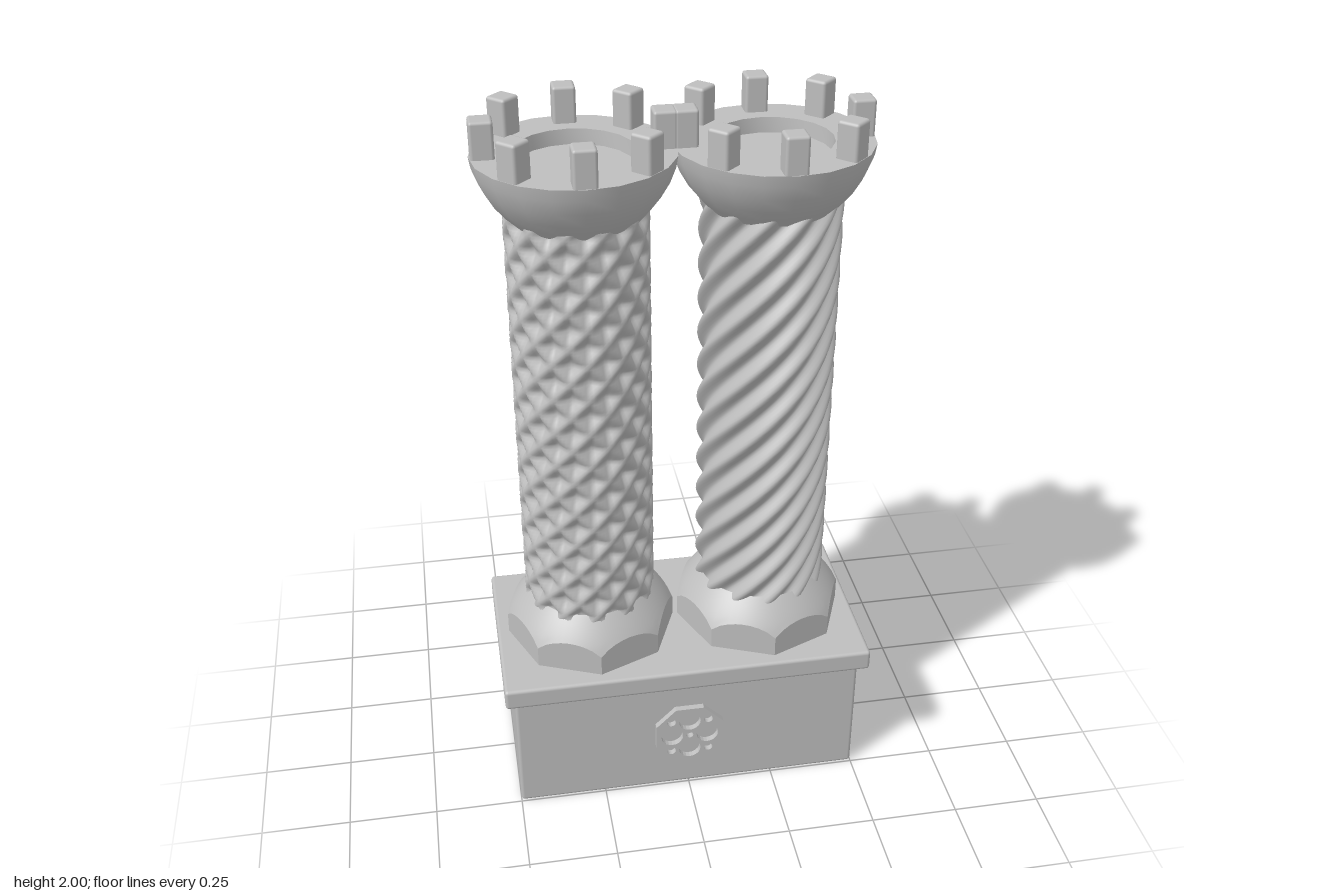
import * as THREE from 'three';
import { toCreasedNormals } from 'three/addons/utils/BufferGeometryUtils.js';
import { RoundedBoxGeometry } from 'three/addons/geometries/RoundedBoxGeometry.js';

const stone = new THREE.MeshStandardMaterial({ color: 0xbebebe });
stone.name = 'stone';

function add(parent, name, geometry, x = 0, y = 0, z = 0) {
  const mesh = new THREE.Mesh(geometry, stone);
  mesh.name = name;
  mesh.position.set(x, y, z);
  parent.add(mesh);
  return mesh;
}

// Closed tube of rings; point(angle, t) gives [radius, height]
function ringSurface(point, sides, rows) {
  const positions = [], index = [];
  for (let j = 0; j <= rows; j++) {
    for (let i = 0; i < sides; i++) {
      const a = (i / sides) * Math.PI * 2;
      const [r, y] = point(a, j / rows);
      positions.push(r * Math.sin(a), y, r * Math.cos(a));
      if (j === rows) continue;
      const p = j * sides + i, q = j * sides + ((i + 1) % sides);
      index.push(p, q, q + sides, p, q + sides, p + sides);
    }
  }
  const g = new THREE.BufferGeometry();
  g.setAttribute('position', new THREE.Float32BufferAttribute(positions, 3));
  g.setIndex(index);
  g.computeVertexNormals();
  return g;
}

// Twelve-lobed shaft making one turn; crossed adds the opposite twist
function shaft(crossed) {
  const lobes = 12;
  return ringSurface((a, t) => {
    const y = 0.54 + t * 1.24;
    const turn = (y / 1.2) * Math.PI * 2;
    let wave = Math.cos(lobes * (a - turn));
    if (crossed) wave = Math.max(wave, Math.cos(lobes * (a + turn)));
    return [0.175 + 0.011 * wave, y];
  }, 120, 144);
}

// Octagonal foot whose upper corners are cut by a domed cone
function foot() {
  const corner = 0.243, apothem = corner * Math.cos(Math.PI / 8);
  const domeY = (r) => 0.505 + 0.095 * Math.pow(Math.max(0, (corner - r) / 0.068), 0.8);
  const rows = 9;
  const g = ringSurface((a, t) => {
    const edge = apothem / Math.cos((a % (Math.PI / 4)) - Math.PI / 8);
    const step = Math.round(t * rows);
    if (step === 0) return [edge, 0.44];
    const r = edge + (0.172 - edge) * ((step - 1) / (rows - 1));
    return [r, domeY(r)];
  }, 64, rows);
  return toCreasedNormals(g, 0.45);
}

// Flared bowl with a sunken floor
function capital() {
  const profile = [
    [0.168, 1.74], [0.188, 1.762], [0.215, 1.795], [0.238, 1.835], [0.253, 1.875],
    [0.258, 1.905], [0.155, 1.905], [0.152, 1.865], [0, 1.865],
  ].map(([r, y]) => new THREE.Vector2(r, y));
  return toCreasedNormals(new THREE.LatheGeometry(profile, 20), 0.6);
}

function tower(name, crossed) {
  const group = new THREE.Group();
  group.name = name;
  add(group, 'foot', foot());
  add(group, 'twistedShaft', shaft(crossed));
  add(group, 'capital', capital());
  const block = new RoundedBoxGeometry(0.06, 0.105, 0.06, 2, 0.008);
  for (let i = 0; i < 8; i++) {
    const a = (i / 8) * Math.PI * 2;
    const merlon = add(group, 'merlon', block, 0.2235 * Math.sin(a), 1.9475, 0.2235 * Math.cos(a));
    merlon.rotation.y = a;
  }
  return group;
}

// Octagonal tracery plate with four large and four small openings
function rosette() {
  const shape = new THREE.Shape();
  for (let i = 0; i < 8; i++) {
    const a = ((i + 0.5) / 8) * Math.PI * 2;
    const x = 0.107 * Math.cos(a), y = 0.107 * Math.sin(a);
    if (i) shape.lineTo(x, y); else shape.moveTo(x, y);
  }
  shape.closePath();
  const opening = (x, y, r) => {
    const hole = new THREE.Path();
    hole.absarc(x, y, r, 0, Math.PI * 2, true);
    shape.holes.push(hole);
  };
  for (let i = 0; i < 4; i++) {
    const a = (i * Math.PI) / 2, b = a + Math.PI / 4;
    opening(0.052 * Math.cos(a), 0.052 * Math.sin(a), 0.032);
    opening(0.077 * Math.cos(b), 0.077 * Math.sin(b), 0.013);
  }
  opening(0, 0, 0.01);
  return new THREE.ExtrudeGeometry(shape, { depth: 0.022, bevelEnabled: false, curveSegments: 10 });
}

export function createModel() {
  const model = new THREE.Group();
  model.name = 'twinColumns';

  // Plinth
  add(model, 'plinth', new RoundedBoxGeometry(1, 0.385, 0.495, 2, 0.01), 0, 0.1925, 0);
  add(model, 'slab', new RoundedBoxGeometry(1.054, 0.063, 0.555, 2, 0.01), 0, 0.4125, 0);
  add(model, 'rosette', rosette(), 0, 0.197, 0.243);

  // Columns
  const crossed = tower('crossedColumn', true);
  crossed.position.x = -0.25;
  const twisted = tower('twistedColumn', false);
  twisted.position.x = 0.25;
  model.add(crossed, twisted);
  return model;
}
